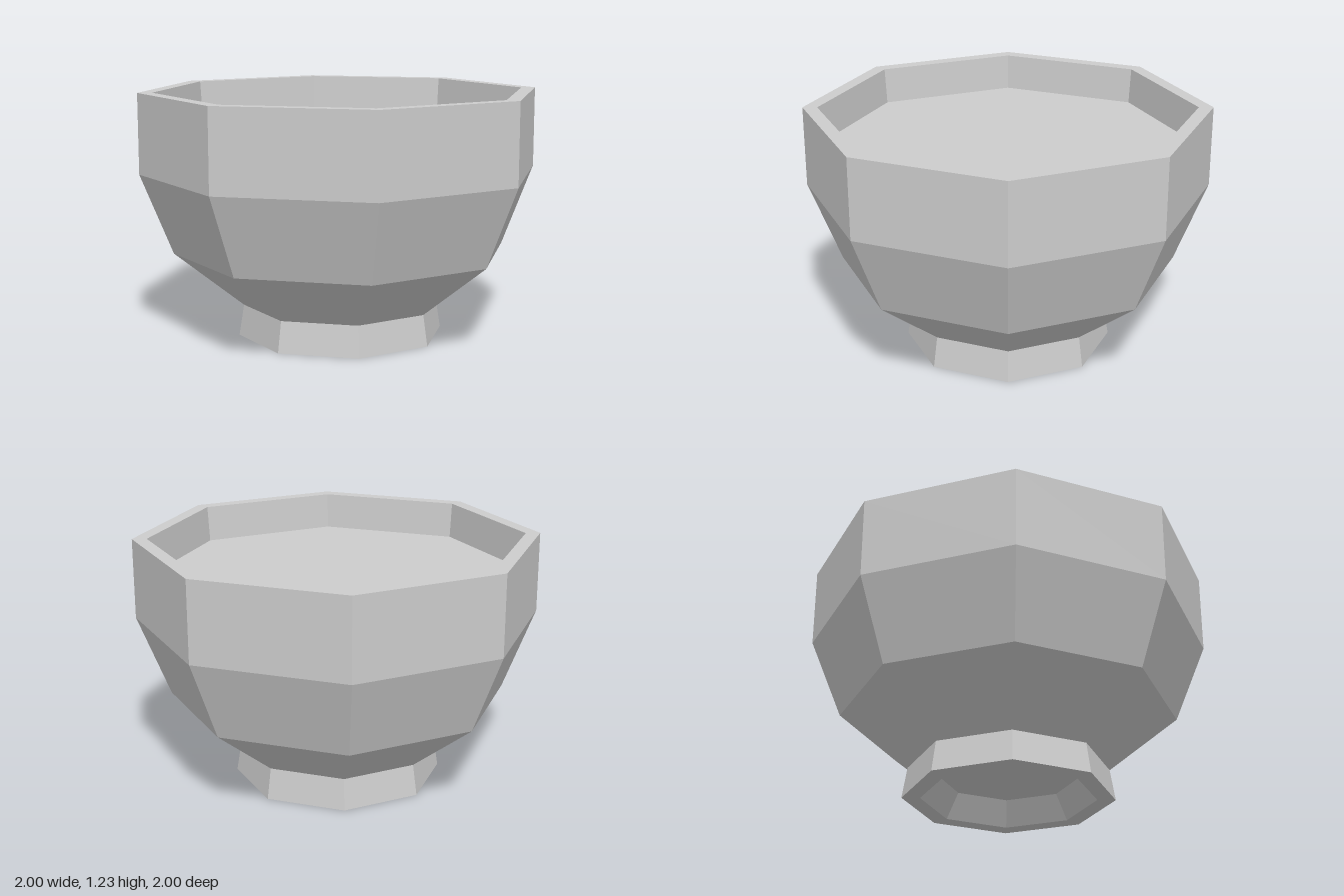
import * as THREE from 'three';

const SIDES = 8;

export function createModel() {
  const model = new THREE.Group();
  const grey = new THREE.MeshStandardMaterial({ color: 0xcccccc });
  grey.name = 'light grey';

  // Turn a [radius, height] profile into a faceted eight-sided part
  const addPart = (name, profile) => {
    const points = profile.map(([r, y]) => new THREE.Vector2(r, y));
    const geometry = new THREE.LatheGeometry(points, SIDES).toNonIndexed();
    geometry.computeVertexNormals();
    const mesh = new THREE.Mesh(geometry, grey);
    mesh.name = name;
    model.add(mesh);
  };

  // Flared foot ring with a recess underneath
  addPart('foot', [[0, 0.12], [0.35, 0.12], [0.43, 0], [0.52, 0], [0.495, 0.155]]);
  // Outer wall of the bowl
  addPart('bowl', [[0.495, 0.155], [0.84, 0.43], [1, 0.83], [1, 1.23]]);
  // Flat rim and the short inner wall
  addPart('rim', [[1, 1.23], [0.928, 1.23], [0.914, 1.05]]);
  // Flat surface inside the bowl
  addPart('innerFloor', [[0.914, 1.05], [0, 1.05]]);

  return model;
}
